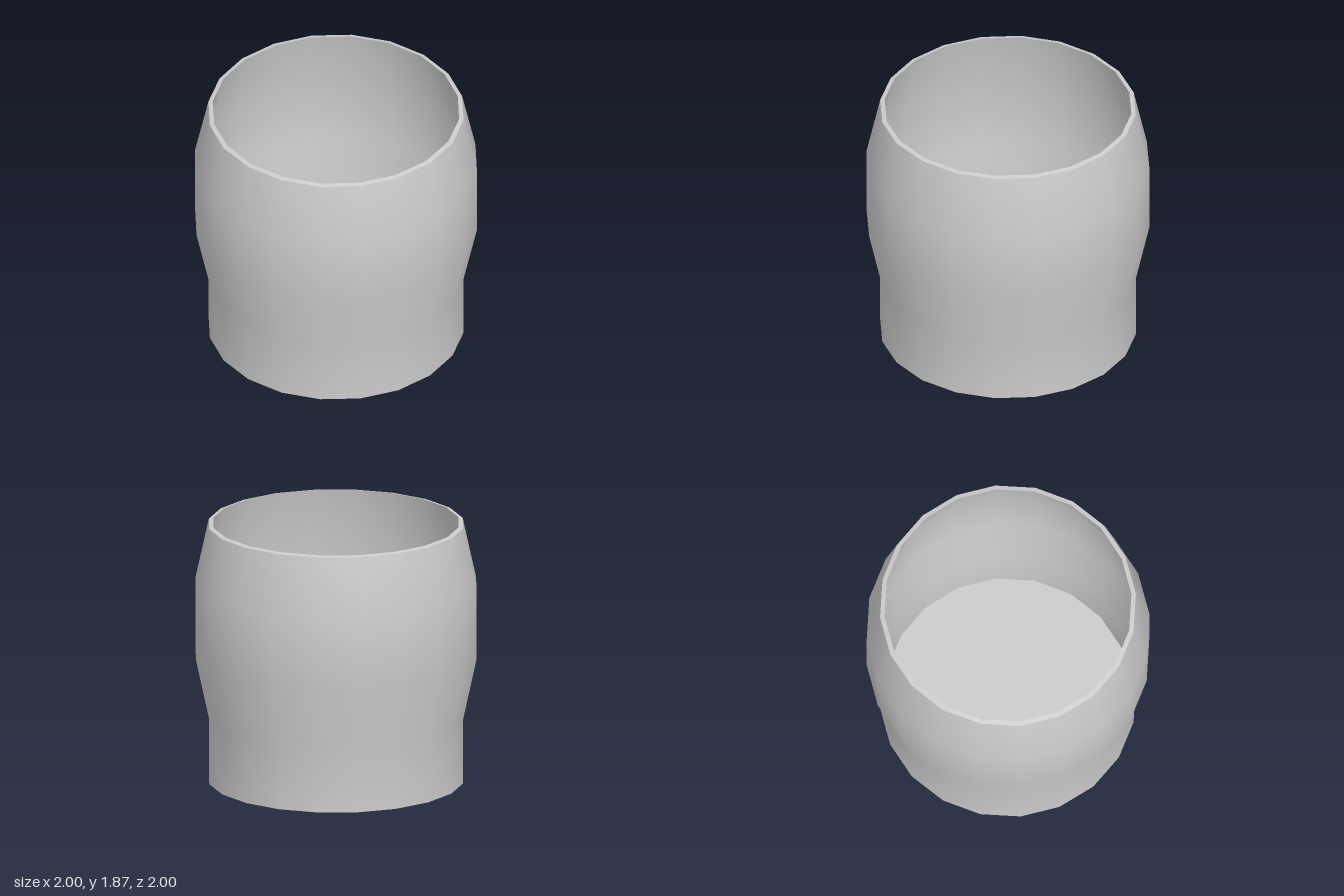
import * as THREE from 'three';

const SIDES = 20;

export function createModel() {
  const group = new THREE.Group();
  group.name = 'cup';
  const material = new THREE.MeshStandardMaterial({ color: 0xcccccc });

  // Each section is its own lathe, so the edges between sections stay sharp
  const addSection = (name, profile) => {
    const points = profile.map(([r, y]) => new THREE.Vector2(r, y));
    const mesh = new THREE.Mesh(new THREE.LatheGeometry(points, SIDES), material);
    mesh.name = name;
    group.add(mesh);
  };

  // Profiles run from the underside, up the outside, over the rim and down inside
  addSection('underside', [[0, 0], [0.905, 0]]);
  addSection('outerWall', [[0.905, 0], [0.905, 0.47], [1, 0.91], [1, 1.43], [0.905, 1.863]]);
  addSection('rim', [[0.905, 1.863], [0.873, 1.87]]);
  addSection('innerWall', [[0.873, 1.87], [0.967, 1.43], [0.967, 0.91], [0.873, 0.47], [0.873, 0.035]]);
  addSection('innerFloor', [[0.873, 0.035], [0, 0.035]]);

  return group;
}
